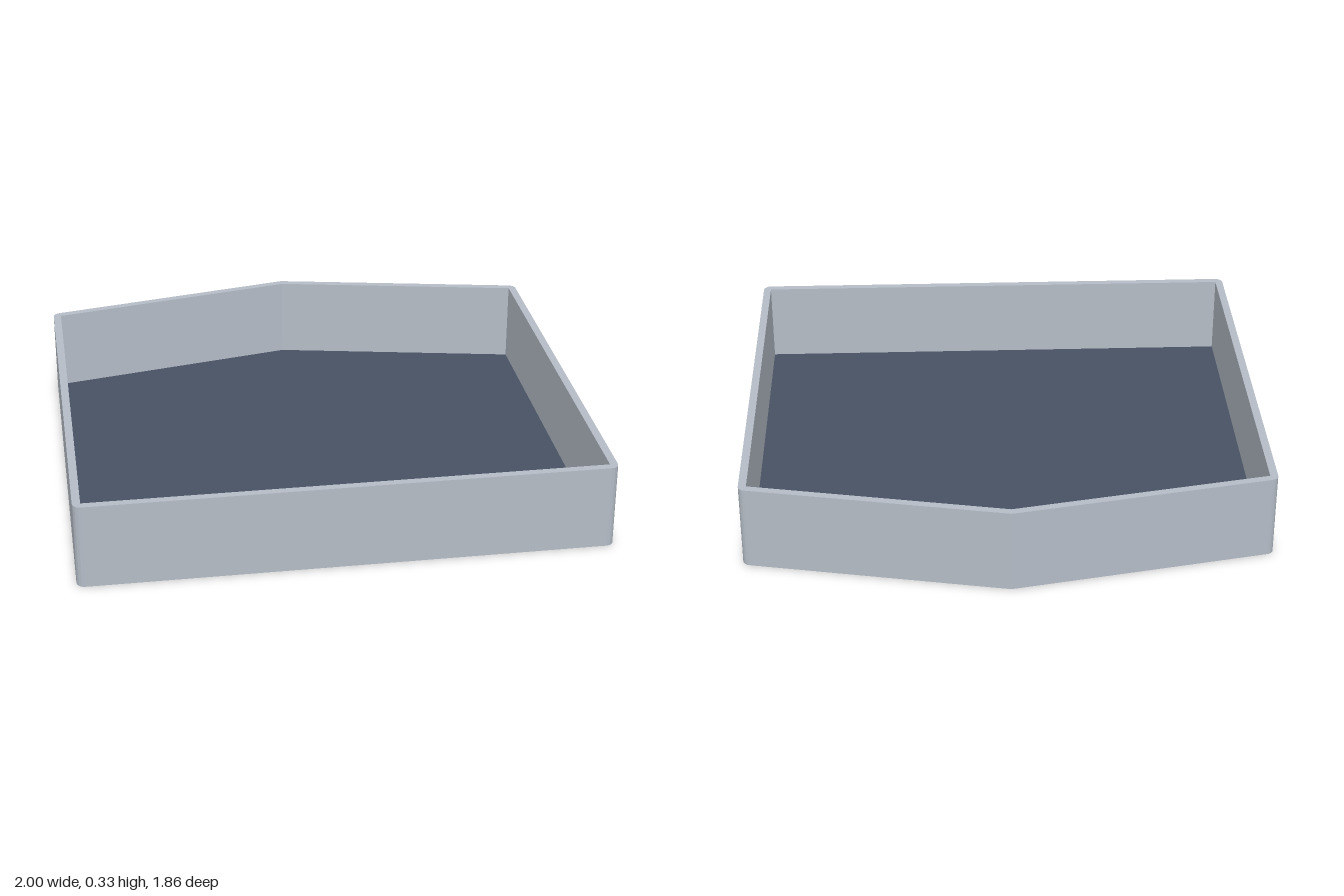
import * as THREE from 'three';

const HEIGHT = 0.33;
const WALL = 0.03;
const FLOOR = 0.01;

// Inner outline, counter-clockwise, drawn with shape y = -z.
const inner = [[-0.97, -0.9], [0.97, -0.9], [0.97, 0.71], [0, 0.903], [-0.97, 0.71]]
  .map(([x, y]) => new THREE.Vector2(x, y));

// Grow the outline by a distance, turning each corner with a short arc.
function offsetOutline(points, distance, segments) {
  const result = [];
  const normalAngle = (a, b) => Math.atan2(b.y - a.y, b.x - a.x) - Math.PI / 2;
  points.forEach((p, i) => {
    const prev = points[(i + points.length - 1) % points.length];
    const next = points[(i + 1) % points.length];
    const start = normalAngle(prev, p);
    let turn = normalAngle(p, next) - start;
    if (turn < 0) turn += Math.PI * 2;
    for (let k = 0; k <= segments; k++) {
      const a = start + (turn * k) / segments;
      result.push(new THREE.Vector2(p.x + Math.cos(a) * distance, p.y + Math.sin(a) * distance));
    }
  });
  return result;
}

// Extrude a plan shape straight up from the ground.
function extrudeUp(shape, height) {
  return new THREE.ExtrudeGeometry(shape, { depth: height, bevelEnabled: false })
    .rotateX(-Math.PI / 2);
}

export function createModel() {
  const group = new THREE.Group();
  group.name = 'tray';

  // Thin wall running all the way round, with softened outer corners
  const wallShape = new THREE.Shape(offsetOutline(inner, WALL, 4));
  wallShape.holes.push(new THREE.Path(inner));
  const wall = new THREE.Mesh(
    extrudeUp(wallShape, HEIGHT),
    new THREE.MeshStandardMaterial({ color: 0xb4bcc6 })
  );
  wall.name = 'wall';

  // Dark floor panel set inside the wall
  const floor = new THREE.Mesh(
    extrudeUp(new THREE.Shape(inner), FLOOR),
    new THREE.MeshStandardMaterial({ color: 0x475263 })
  );
  floor.name = 'floor';

  group.add(wall, floor);
  return group;
}
